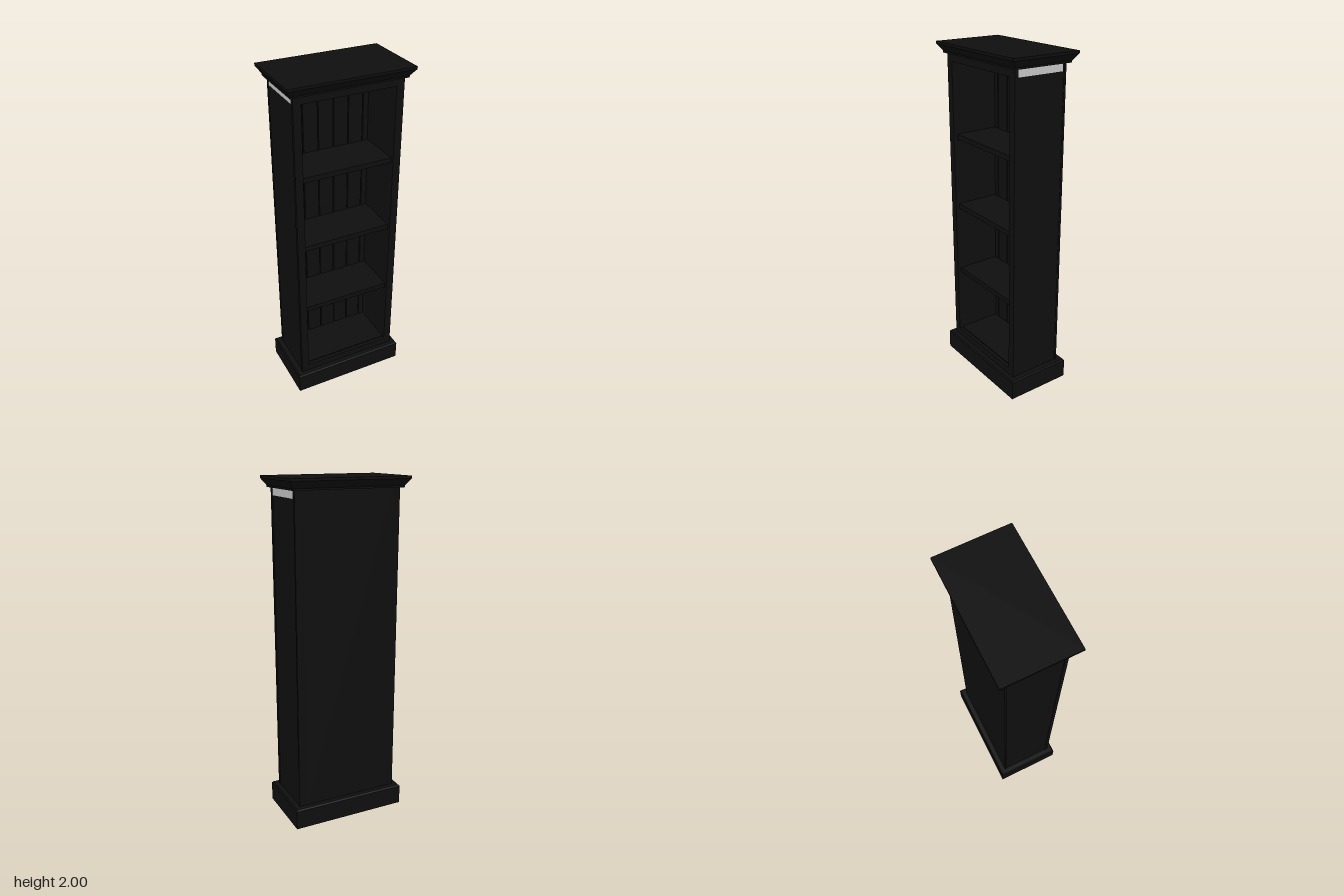
import * as THREE from 'three';

const paint = new THREE.MeshStandardMaterial({ color: 0x0f0f0f });
const grey = new THREE.MeshStandardMaterial({ color: 0xcccccc });

export function createModel() {
  const model = new THREE.Group();
  model.name = 'bookcase';

  // Box given by its [min, max] extent on each axis
  function box(name, [x0, x1], [y0, y1], [z0, z1], material = paint) {
    const mesh = new THREE.Mesh(new THREE.BoxGeometry(x1 - x0, y1 - y0, z1 - z0), material);
    mesh.position.set((x0 + x1) / 2, (y0 + y1) / 2, (z0 + z1) / 2);
    mesh.name = name;
    model.add(mesh);
    return mesh;
  }

  // Centred slab whose bottom and top rectangles differ (half sizes w, d)
  function taper(name, y0, y1, [w0, d0], [w1, d1]) {
    const g = new THREE.BoxGeometry(2, y1 - y0, 2);
    const p = g.attributes.position;
    for (let i = 0; i < p.count; i++) {
      const top = p.getY(i) > 0;
      p.setX(i, p.getX(i) * (top ? w1 : w0));
      p.setZ(i, p.getZ(i) * (top ? d1 : d0));
    }
    g.computeVertexNormals();
    const mesh = new THREE.Mesh(g, paint);
    mesh.position.y = (y0 + y1) / 2;
    mesh.name = name;
    model.add(mesh);
  }

  // Plinth: hollow skirt, floor and eased top edge
  for (const s of [-1, 1]) {
    const side = s > 0 ? [0.335, 0.35] : [-0.35, -0.335];
    const face = s > 0 ? [0.185, 0.2] : [-0.2, -0.185];
    box('plinthSide', side, [0, 0.113], [-0.2, 0.2]);
    box('plinthFace', [-0.335, 0.335], [0, 0.113], face);
  }
  box('plinthFloor', [-0.335, 0.335], [0.015, 0.113], [-0.185, 0.185]);
  taper('plinthTopEdge', 0.113, 0.122, [0.35, 0.2], [0.343, 0.193]);

  // Sides with corner strips, face-frame stiles and a pale strip under the crown
  for (const s of [-1, 1]) {
    const span = (a, b) => (s > 0 ? [a, b] : [-b, -a]);
    box('sidePanel', span(0.27, 0.312), [0.12, 1.94], [-0.155, 0.148]);
    box('frontStile', span(0.27, 0.315), [0.12, 1.94], [0.148, 0.168]);
    box('backStrip', span(0.27, 0.315), [0.12, 1.94], [-0.163, -0.15]);
    box('sideStrip', span(0.31, 0.3145), [1.895, 1.935], [-0.14, 0.145], grey);
  }
  box('topRail', [-0.27, 0.27], [1.895, 1.94], [0.148, 0.168]);
  box('bottomRail', [-0.27, 0.27], [0.12, 0.165], [0.148, 0.168]);
  box('ceiling', [-0.27, 0.27], [1.905, 1.94], [-0.15, 0.148]);

  // Back panel lined with grooved boards
  box('backPanel', [-0.27, 0.27], [0.12, 1.94], [-0.163, -0.128]);
  const edges = [-0.27, -0.233, -0.14, -0.047, 0.047, 0.14, 0.233, 0.27];
  for (let i = 0; i < edges.length - 1; i++) {
    box('backBoard', [edges[i] + 0.003, edges[i + 1] - 0.003], [0.16, 1.91], [-0.13, -0.12]);
  }

  // Bottom shelf and three upper shelves
  for (let i = 0; i < 4; i++) {
    const top = 0.17 + i * 0.435;
    box('shelf', [-0.27, 0.27], [top - 0.03, top], [-0.13, 0.146]);
  }

  // Crown: straight foot, sloped moulding and flat cap
  taper('crownFoot', 1.938, 1.948, [0.333, 0.184], [0.333, 0.184]);
  taper('crownMoulding', 1.948, 1.986, [0.333, 0.184], [0.36, 0.211]);
  taper('crownCap', 1.986, 2, [0.36, 0.211], [0.36, 0.211]);

  return model;
}
